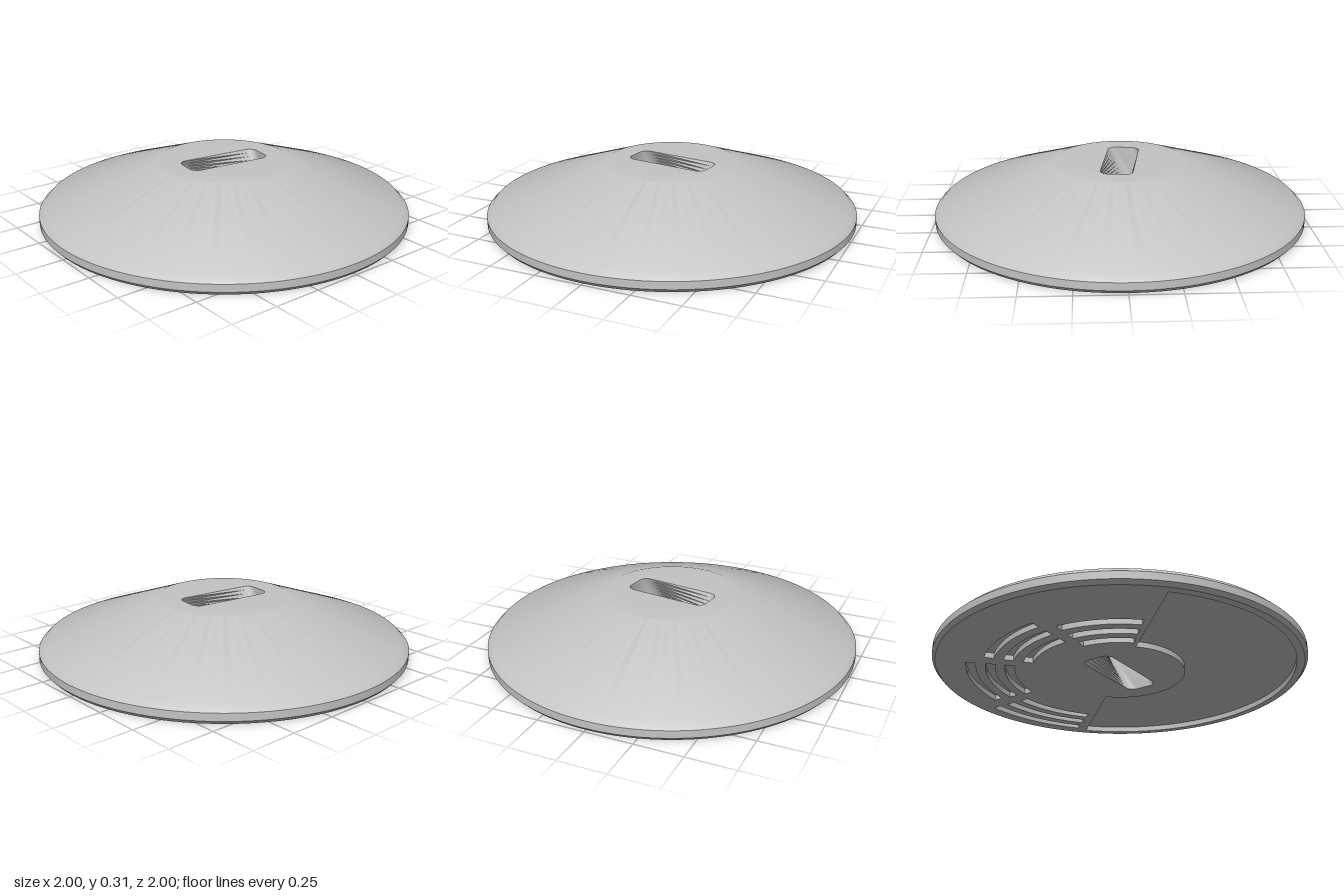
import * as THREE from 'three';
import { mergeGeometries, toCreasedNormals } from 'three/addons/utils/BufferGeometryUtils.js';

const rad = THREE.MathUtils.degToRad;
const TOP = 0.305, DEPTH = 0.03;

// Plan outlines are Vector2 lists holding (x, z), running from +x towards +z.
function arc(r, from, to, steps) {
  return Array.from({ length: steps + 1 }, (_, i) => {
    const a = rad(from + (to - from) * i / steps);
    return new THREE.Vector2(r * Math.cos(a), r * Math.sin(a));
  });
}
const circle = (r) => arc(r, 0, 360, 128).slice(0, -1);
const sector = (r0, r1, from, to, steps) =>
  [...arc(r1, from, to, steps), ...arc(r0, to, from, steps)];

// Rounded slot outline turned to a given angle
function slot(angle) {
  const a = 0.235, b = 0.086, r = 0.045;
  const corners = [[1, 1, 0], [-1, 1, 90], [-1, -1, 180], [1, -1, 270]];
  return corners.flatMap(([sx, sz, start]) =>
    arc(r, start, start + 90, 8).map((p) =>
      p.add(new THREE.Vector2(sx * (a - r), sz * (b - r)))
        .rotateAround(new THREE.Vector2(), rad(angle))));
}

// Skin between matching outlines, each given as [points, height]
function loft(loops) {
  const pos = [];
  for (let k = 0; k < loops.length - 1; k++) {
    const [p, y0] = loops[k], [q, y1] = loops[k + 1], n = p.length;
    for (let i = 0; i < n; i++) {
      const j = (i + 1) % n;
      const a = [p[i].x, y0, p[i].y], b = [p[j].x, y0, p[j].y];
      const c = [q[j].x, y1, q[j].y], d = [q[i].x, y1, q[i].y];
      pos.push(...a, ...b, ...d, ...b, ...c, ...d);
    }
  }
  const g = new THREE.BufferGeometry();
  g.setAttribute('position', new THREE.Float32BufferAttribute(pos, 3));
  return g;
}

// Flat face with holes, facing down unless up is set
function plate(points, holes, y, up = false) {
  const shape = new THREE.Shape(points);
  shape.holes = holes.map((h) => new THREE.Path(h));
  const g = new THREE.ShapeGeometry(shape).rotateX(Math.PI / 2).translate(0, y, 0);
  if (up) g.setIndex(Array.from(g.index.array).reverse());
  const flat = g.toNonIndexed();
  flat.deleteAttribute('uv');
  flat.deleteAttribute('normal');
  return flat;
}

export function createModel() {
  const group = new THREE.Group();
  const grey = new THREE.MeshStandardMaterial({ color: 0xc4c4c4 });
  grey.name = 'light grey';
  const add = (name, parts) => {
    const mesh = new THREE.Mesh(toCreasedNormals(mergeGeometries(parts), 0.6), grey);
    mesh.name = name;
    group.add(mesh);
  };

  // Conical top with a flat crown, rounded shoulder and thin rim
  const crown = circle(0.36), edge = circle(1);
  add('top', [
    plate(crown, [slot(7.5)], TOP, true),
    loft([[crown, TOP], [circle(0.97), 0.09], [edge, 0.06]]),
  ]);
  add('rim', [loft([[edge, 0.06], [edge, 0.02], [circle(0.982), 0]])]);

  // Central slot twisting an eighth of a turn on its way up
  const steps = 16;
  add('twistedSlot', [loft(Array.from({ length: steps + 1 }, (_, i) =>
    [slot(52.5 - 45 * i / steps), TOP * i / steps]))]);

  // Half-ring recess and four stepped groups of three curved grooves underneath
  const recess = sector(0.35, 0.94, 5, 185, 64);
  const grooves = [];
  for (let k = 0; k < 4; k++) {
    const start = -172 + 45 * k;
    for (let i = 0; i < 3; i++) {
      const r = 0.65 + 0.087 * k - 0.103 * i;
      grooves.push(sector(r - 0.052, r, start, start + 38.5, 14));
    }
  }
  add('underside', [plate(circle(0.982), [slot(52.5), recess, ...grooves], 0)]);
  const pocket = (outline) =>
    [loft([[outline, 0], [outline, DEPTH]]), plate(outline, [], DEPTH)];
  add('halfRingRecess', pocket(recess));
  add('curvedGrooves', grooves.flatMap(pocket));

  return group;
}
